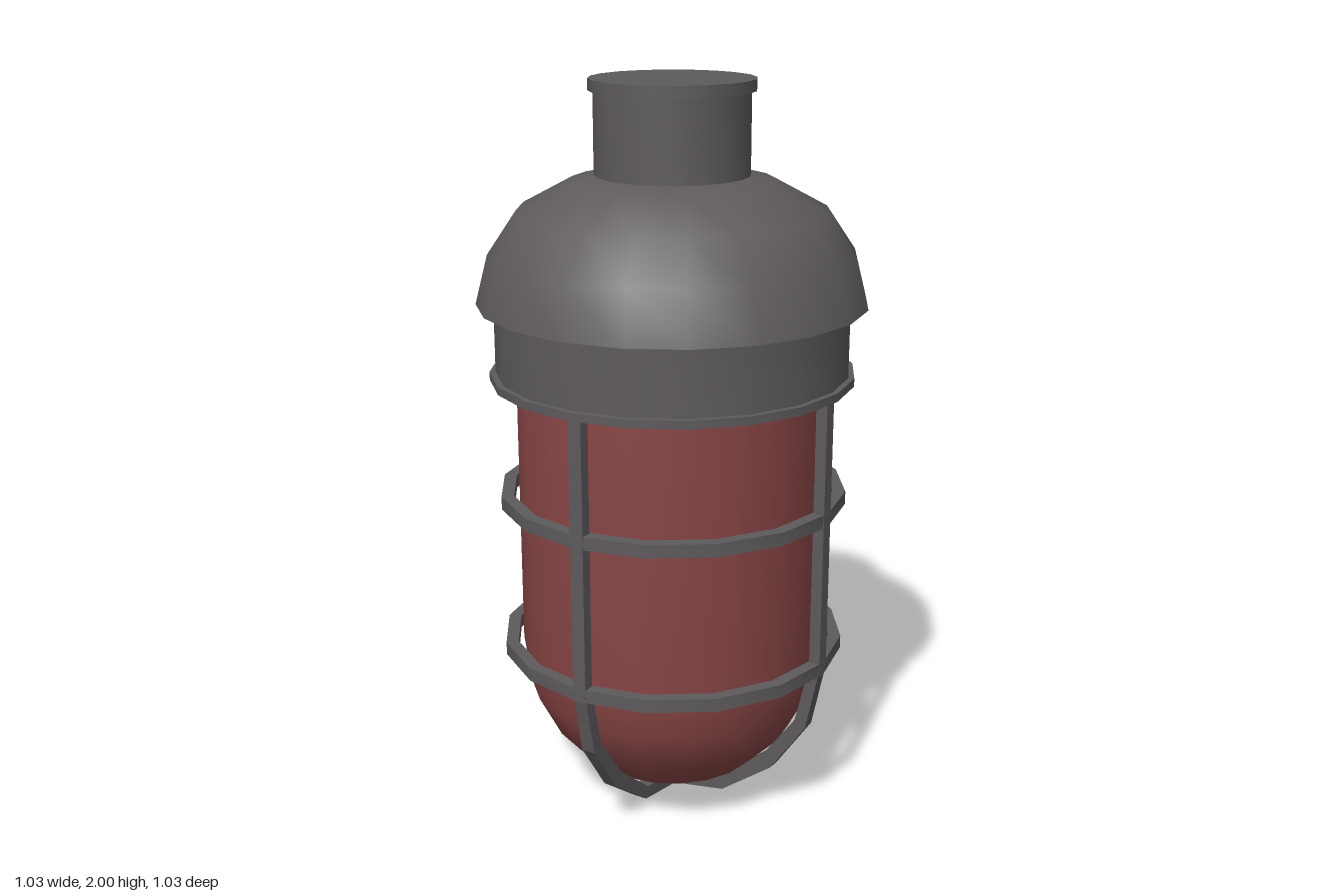
import * as THREE from 'three';
import { toCreasedNormals } from 'three/addons/utils/BufferGeometryUtils.js';

const metal = new THREE.MeshStandardMaterial({ color: 0x5e5a5d });
metal.name = 'dark grey metal';
const glass = new THREE.MeshStandardMaterial({ color: 0x8a4646 });
glass.name = 'red glass';

// Turned part from [radius, height] points, listed bottom to top on the outside
function turned(name, points, material, sides = 20) {
  const lathe = new THREE.LatheGeometry(points.map(([r, y]) => new THREE.Vector2(r, y)), sides);
  const mesh = new THREE.Mesh(toCreasedNormals(lathe, 0.6), material);
  mesh.name = name;
  return mesh;
}

// Flat-sided U-shaped cage bar running down one side, under the glass and up the other
function cageBar(name) {
  const outer = [[0.468, 1.23], [0.468, 0.474], [0.43, 0.294], [0.328, 0.145], [0.175, 0.032]];
  const inner = [[0.437, 1.23], [0.437, 0.474], [0.398, 0.31], [0.302, 0.178], [0.165, 0.066]];
  const mirrored = (pts) => pts.map(([x, y]) => [-x, y]).reverse();
  const outline = [
    ...outer, [0, 0.004], ...mirrored(outer),
    ...inner.map(([x, y]) => [-x, y]), [0, 0.042], ...mirrored(inner).map(([x, y]) => [-x, y]),
  ];
  const shape = new THREE.Shape(outline.map(([x, y]) => new THREE.Vector2(x, y)));
  const geometry = new THREE.ExtrudeGeometry(shape, { depth: 0.038, bevelEnabled: false });
  geometry.translate(0, 0, -0.019);
  const mesh = new THREE.Mesh(geometry, metal);
  mesh.name = name;
  return mesh;
}

export function createModel() {
  const model = new THREE.Group();
  model.name = 'cagedLamp';

  // Housing
  model.add(
    turned('neck', [[0.203, 1.72], [0.203, 1.98]], metal),
    turned('neckCap', [[0, 1.97], [0.216, 1.97], [0.216, 2], [0, 2]], metal),
    turned('hood', [[0, 1.425], [0.516, 1.425], [0.482, 1.555], [0.404, 1.67],
      [0.268, 1.743], [0.2, 1.758], [0, 1.762]], metal),
    turned('collar', [[0, 1.225], [0.47, 1.225], [0.47, 1.43]], metal),
    turned('collarFlange', [[0, 1.22], [0.486, 1.22], [0.486, 1.242], [0.46, 1.242]], metal),
  );

  // Glass globe
  model.add(turned('glassGlobe', [[0, 0.05], [0.125, 0.066], [0.24, 0.125], [0.335, 0.22],
    [0.397, 0.34], [0.416, 0.475], [0.416, 1.225]], glass));

  // Cage: two crossing bars and two hoops
  const cage = new THREE.Group();
  cage.name = 'cage';
  const sideBar = cageBar('sideBar');
  const frontBackBar = cageBar('frontBackBar');
  frontBackBar.rotation.y = Math.PI / 2;
  cage.add(sideBar, frontBackBar);
  for (const [name, y] of [['upperHoop', 0.898], ['lowerHoop', 0.474]]) {
    const [low, high] = [y - 0.018, y + 0.018];
    cage.add(turned(name, [[0.436, low], [0.47, low], [0.47, high], [0.436, high], [0.436, low]], metal, 16));
  }
  model.add(cage);
  return model;
}
